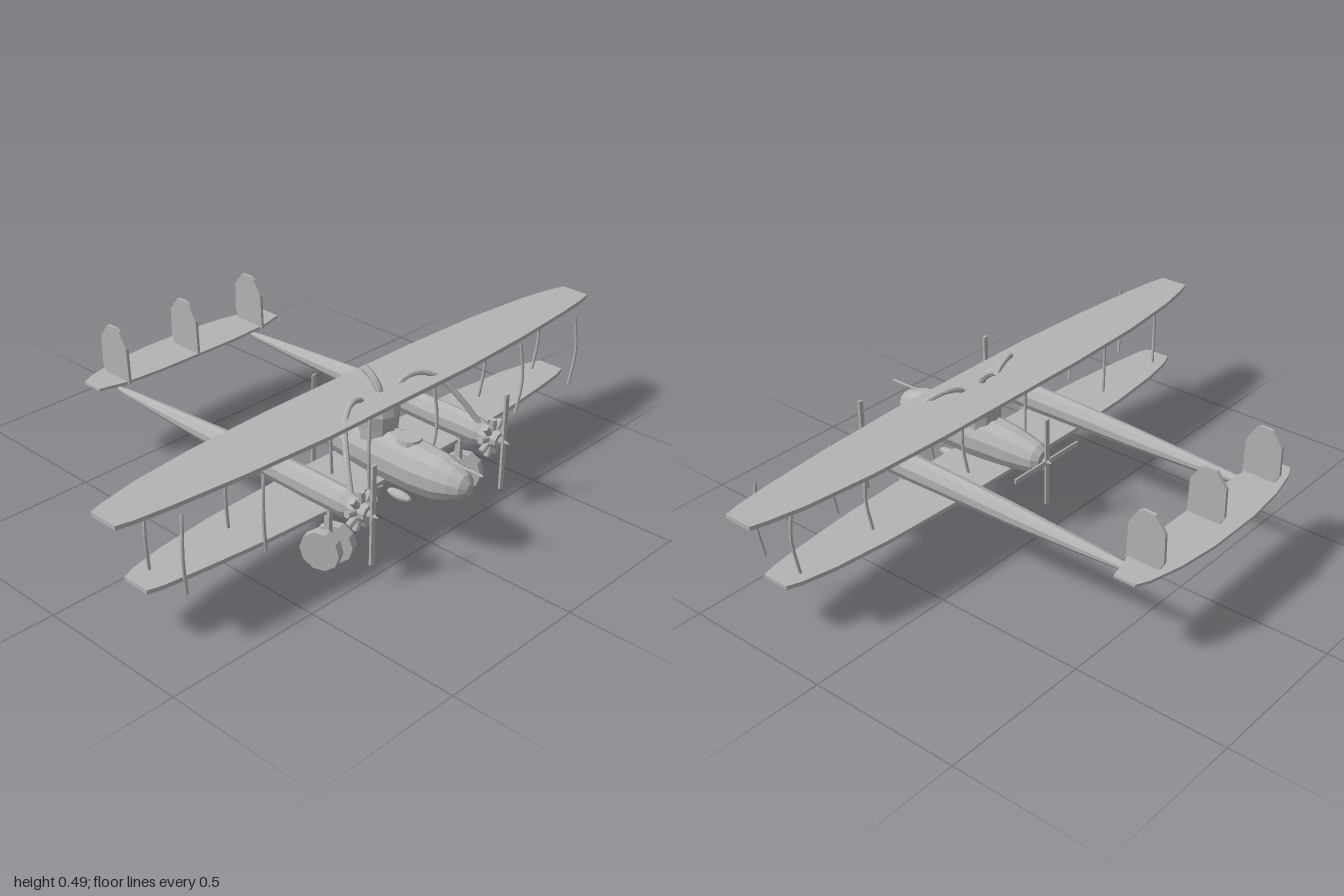
import * as THREE from 'three';

const grey = new THREE.MeshStandardMaterial({ color: 0xb4b4b4, flatShading: true });
grey.name = 'plain grey';

export function createModel() {
  const model = new THREE.Group();
  model.name = 'twinBoomBiplane';

  const add = (name, geo, x = 0, y = 0, z = 0, parent = model) => {
    const m = new THREE.Mesh(geo, grey);
    m.name = name;
    m.position.set(x, y, z);
    parent.add(m);
    return m;
  };

  // Body lofted from elliptical sections [z, y, rx, ry], listed front to back
  const loft = (sections, n) => {
    const pos = [], idx = [];
    for (const [z, y, rx, ry] of sections)
      for (let j = 0; j < n; j++) {
        const a = ((j + 0.5) / n) * Math.PI * 2;
        pos.push(rx * Math.cos(a), y + ry * Math.sin(a), z);
      }
    for (let i = 0; i < sections.length - 1; i++)
      for (let j = 0; j < n; j++) {
        const k = (j + 1) % n;
        const a = i * n + j, b = i * n + k, c = a + n, d = b + n;
        idx.push(a, c, b, b, c, d);
      }
    const last = (sections.length - 1) * n;
    for (let j = 1; j < n - 1; j++) idx.push(0, j, j + 1, last, last + j + 1, last + j);
    const g = new THREE.BufferGeometry();
    g.setAttribute('position', new THREE.Float32BufferAttribute(pos, 3));
    g.setIndex(idx);
    g.computeVertexNormals();
    return g;
  };

  const extrude = (pts, depth) => new THREE.ExtrudeGeometry(
    new THREE.Shape(pts.map(p => new THREE.Vector2(...p))), { depth, bevelEnabled: false });

  // Horizontal plate from the right-hand outline [x, z], mirrored across x
  const plate = (half, depth) => {
    const pts = [...half, ...half.slice().reverse().map(([x, z]) => [-x, z])];
    return extrude(pts.map(([x, z]) => [x, -z]), depth).rotateX(-Math.PI / 2);
  };

  const tube = (pts, r, seg = 10) => new THREE.TubeGeometry(
    new THREE.CatmullRomCurve3(pts.map(p => new THREE.Vector3(...p))), seg, r, 8);

  // Wings
  add('upperWing', plate([[0.3, 0.37], [0.6, 0.355], [0.83, 0.335], [0.95, 0.32], [1, 0.308],
    [1, 0.212], [0.95, 0.197], [0.83, 0.173], [0.6, 0.15], [0.3, 0.14]], 0.013), 0, 0.414, 0);
  add('lowerWing', plate([[0.28, 0.36], [0.55, 0.345], [0.75, 0.325], [0.86, 0.31], [0.905, 0.298],
    [0.905, 0.207], [0.86, 0.19], [0.75, 0.168], [0.55, 0.148], [0.28, 0.138]], 0.013), 0, 0.169, 0);

  // Bowed wing struts
  for (const s of [-1, 1])
    for (const x of [0.835, 0.55, 0.135])
      for (const z of [0.375, 0.225])
        add('wingStrut', tube([[s * x, 0.175, z], [s * (x + 0.015), 0.3, z + 0.008],
          [s * (x + 0.005), 0.42, z]], 0.005, 6));

  // Central fuselage
  add('fuselage', loft([
    [0.634, 0.238, 0.015, 0.018], [0.618, 0.24, 0.036, 0.04], [0.585, 0.241, 0.052, 0.056],
    [0.54, 0.238, 0.063, 0.073], [0.46, 0.236, 0.07, 0.08], [0.3, 0.238, 0.072, 0.083],
    [0.14, 0.237, 0.06, 0.068], [0.05, 0.236, 0.045, 0.05], [0.03, 0.236, 0.03, 0.034]], 12));
  add('gunnerRing', new THREE.CylinderGeometry(0.037, 0.04, 0.016, 12), 0, 0.314, 0.405);
  add('noseGun', new THREE.CylinderGeometry(0.004, 0.004, 0.16, 6).rotateX(Math.PI / 2), 0, 0.3, 0.597);

  // Engine tower and its chimney
  add('engineTower', new THREE.LatheGeometry([[0, 0.28], [0.058, 0.28], [0.06, 0.32], [0.064, 0.365],
    [0.056, 0.39], [0.036, 0.41], [0, 0.412]].map(p => new THREE.Vector2(...p)), 10), 0, 0, 0.283);
  add('chimney', tube([[0, 0.4, 0.29], [0, 0.435, 0.28], [0, 0.462, 0.257], [0, 0.482, 0.225]], 0.012));

  // Pusher propeller at the back of the fuselage
  const pusher = new THREE.Group();
  pusher.name = 'pusherPropeller';
  pusher.position.set(0, 0.236, 0.018);
  model.add(pusher);
  add('blade', new THREE.BoxGeometry(0.016, 0.3, 0.006), 0, 0, 0, pusher);
  add('blade', new THREE.BoxGeometry(0.3, 0.016, 0.006), 0, 0, 0, pusher);
  add('hub', new THREE.ConeGeometry(0.014, 0.03, 8).rotateX(-Math.PI / 2), 0, 0, -0.005, pusher);

  // Bombs under the fuselage
  for (const x of [-0.032, 0.032])
    for (const z of [0.4, 0.29])
      add('bomb', new THREE.SphereGeometry(1, 10, 6).rotateX(Math.PI / 2).scale(0.016, 0.015, 0.046), x, 0.137, z);

  // Booms with engines, propellers, pipes and wheels
  for (const s of [-1, 1]) {
    const side = new THREE.Group();
    side.name = s > 0 ? 'leftBoomUnit' : 'rightBoomUnit';
    side.position.x = s * 0.29;
    model.add(side);
    add('boom', loft([[0.47, 0.236, 0.026, 0.03], [0.43, 0.236, 0.034, 0.046], [0.3, 0.237, 0.036, 0.047],
      [0.12, 0.237, 0.034, 0.043], [-0.1, 0.235, 0.031, 0.035], [-0.35, 0.234, 0.022, 0.022],
      [-0.52, 0.234, 0.013, 0.012], [-0.567, 0.234, 0.006, 0.007]], 10), 0, 0, 0, side);

    const engine = new THREE.Group();
    engine.name = 'radialEngine';
    engine.position.set(0, 0.236, 0.485);
    side.add(engine);
    add('crankcase', new THREE.CylinderGeometry(0.026, 0.034, 0.06, 10).rotateX(Math.PI / 2), 0, 0, 0, engine);
    for (let i = 0; i < 9; i++) {
      const a = (i / 9) * Math.PI * 2;
      const c = add('engineCylinder', new THREE.CylinderGeometry(0.011, 0.011, 0.036, 8),
        -Math.sin(a) * 0.042, Math.cos(a) * 0.042, 0, engine);
      c.rotation.z = a;
    }
    add('spinner', new THREE.ConeGeometry(0.015, 0.04, 8).rotateX(Math.PI / 2), 0, 0, 0.045, engine);
    add('propeller', new THREE.BoxGeometry(0.016, 0.32, 0.008), 0, 0, 0.043, engine);

    // Pipe arching over the upper wing into the tower
    add('exhaustPipe', tube([[s * 0.285, 0.265, 0.44], [s * 0.25, 0.345, 0.39], [s * 0.2, 0.42, 0.335],
      [s * 0.145, 0.443, 0.305], [s * 0.09, 0.432, 0.29], [s * 0.05, 0.385, 0.283]], 0.009, 18));

    // Landing gear
    add('gearLeg', new THREE.BoxGeometry(0.014, 0.15, 0.02), 0, 0.13, 0.36, side);
    add('axle', new THREE.CylinderGeometry(0.01, 0.01, 0.08, 8).rotateZ(Math.PI / 2), 0, 0.062, 0.36, side);
    for (const x of [-0.028, 0.028])
      add('wheel', new THREE.CylinderGeometry(0.063, 0.063, 0.03, 10).rotateX(Math.PI / 10)
        .rotateZ(Math.PI / 2), x, 0.062, 0.36, side);
  }

  // Tailplane and three fins
  add('tailplane', plate([[0.15, -0.508], [0.3, -0.517], [0.39, -0.54], [0.39, -0.612], [0.35, -0.632],
    [0.24, -0.658], [0.1, -0.673]], 0.009), 0, 0.269, 0);
  const fin = extrude([[-0.508, 0.272], [-0.514, 0.39], [-0.546, 0.44], [-0.562, 0.449], [-0.602, 0.447],
    [-0.637, 0.4], [-0.637, 0.305], [-0.618, 0.272]], 0.01).rotateY(-Math.PI / 2);
  for (const x of [-0.29, 0, 0.29]) add('tailFin', fin, x + 0.005, 0, 0);

  return model;
}
